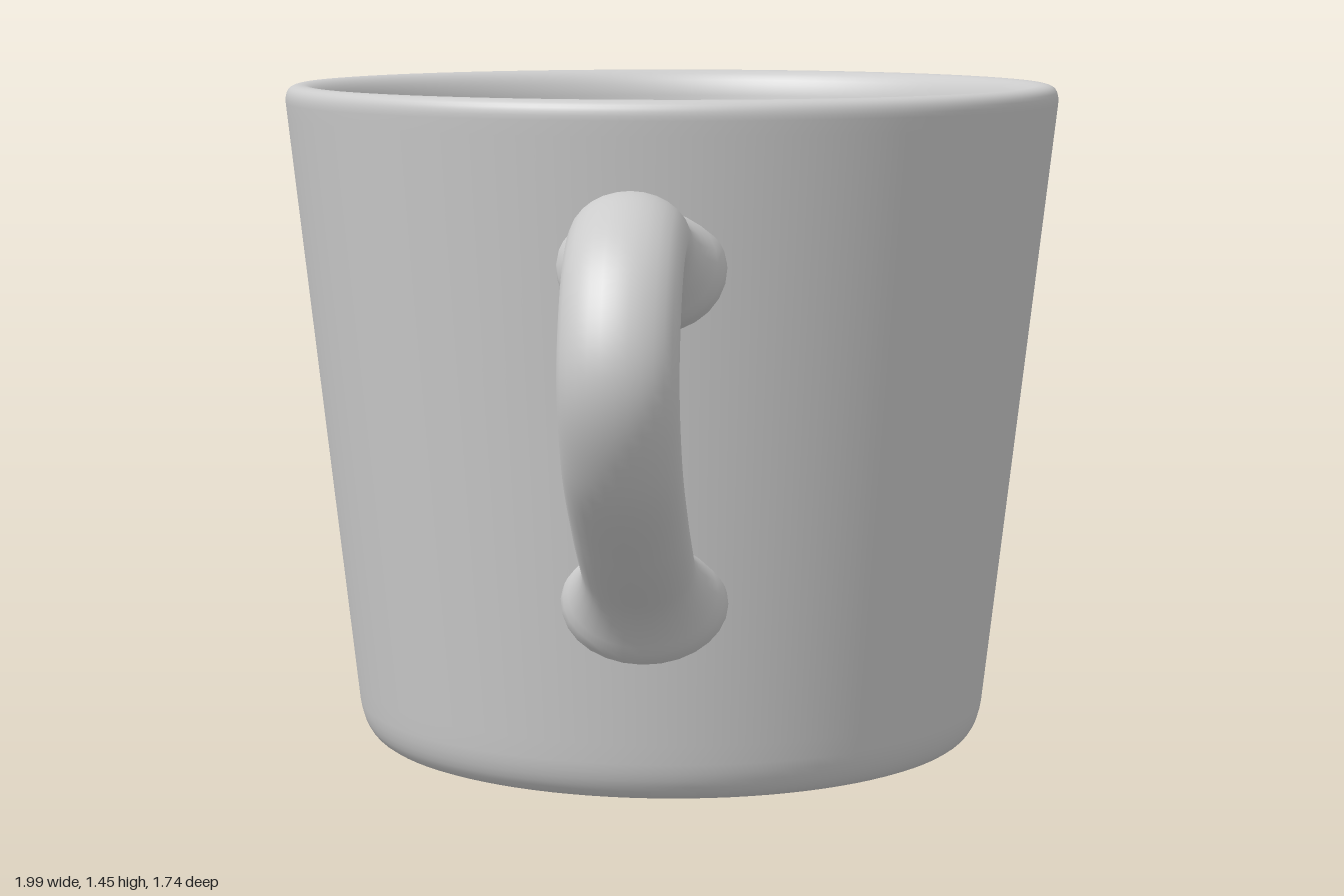
import * as THREE from 'three';

const material = new THREE.MeshStandardMaterial({ color: 0xcccccc });

// Radius of the tapered outer wall at height y
const wallRadius = (y) => 0.692 + 0.111 * (y - 0.06);

// Cup: outer wall, rounded rim, inner wall and floor in one lathe profile
function createCup() {
  const profile = new THREE.Path();
  profile.moveTo(0, 0.005);
  profile.lineTo(0.6, 0.005);
  profile.lineTo(0.63, 0.005);
  profile.quadraticCurveTo(0.684, 0.008, wallRadius(0.09), 0.09);
  profile.lineTo(wallRadius(0.13), 0.13);
  profile.lineTo(wallRadius(1.38), 1.38);
  profile.lineTo(wallRadius(1.41), 1.41);
  profile.quadraticCurveTo(0.846, 1.45, 0.81, 1.45);
  profile.quadraticCurveTo(0.77, 1.45, 0.758, 1.39);
  profile.lineTo(0.754, 1.36);
  profile.lineTo(0.625, 0.2);
  profile.lineTo(0.622, 0.17);
  profile.quadraticCurveTo(0.615, 0.11, 0.56, 0.11);
  profile.lineTo(0.53, 0.11);
  profile.lineTo(0, 0.11);
  const cup = new THREE.Mesh(new THREE.LatheGeometry(profile.getPoints(8), 96), material);
  cup.name = 'cup';
  return cup;
}

// Handle: oval section swept along a loop, flaring where it meets the wall
function createHandle() {
  const path = new THREE.CatmullRomCurve3([
    [0.76, 1.11], [0.85, 1.14], [0.97, 1.185], [1.1, 1.2], [1.24, 1.13], [1.315, 0.97],
    [1.25, 0.81], [1.06, 0.65], [0.87, 0.53], [0.71, 0.43],
  ].map(([x, y]) => new THREE.Vector3(x, y, 0)));
  const steps = 80, sides = 28, positions = [], indices = [];
  for (let i = 0; i <= steps; i++) {
    const p = path.getPointAt(i / steps);
    const t = path.getTangentAt(i / steps);
    const gap = Math.max(0, p.x - wallRadius(p.y));
    const flare = 1 + 0.5 * Math.max(0, 1 - gap / 0.13) ** 2;
    for (let j = 0; j < sides; j++) {
      const angle = (j / sides) * Math.PI * 2;
      const n = Math.cos(angle) * 0.088 * flare;
      const z = Math.sin(angle) * 0.113 * flare;
      const y = p.y + t.x * n;
      // keep the root of the handle inside the thickness of the wall
      const inside = wallRadius(y) - 0.025;
      const x = Math.max(p.x - t.y * n, Math.sqrt(inside * inside - z * z));
      positions.push(x, y, z);
      if (i < steps) {
        const a = i * sides + j, b = i * sides + ((j + 1) % sides);
        indices.push(a, b, a + sides, b, b + sides, a + sides);
      }
    }
  }
  const geometry = new THREE.BufferGeometry();
  geometry.setAttribute('position', new THREE.Float32BufferAttribute(positions, 3));
  geometry.setIndex(indices);
  geometry.computeVertexNormals();
  const handle = new THREE.Mesh(geometry, material);
  handle.name = 'handle';
  handle.rotation.y = -2.494;
  return handle;
}

export function createModel() {
  const mug = new THREE.Group();
  mug.name = 'mug';
  mug.add(createCup(), createHandle());
  mug.position.set(0.157, 0, -0.04);
  const model = new THREE.Group();
  model.add(mug);
  return model;
}
